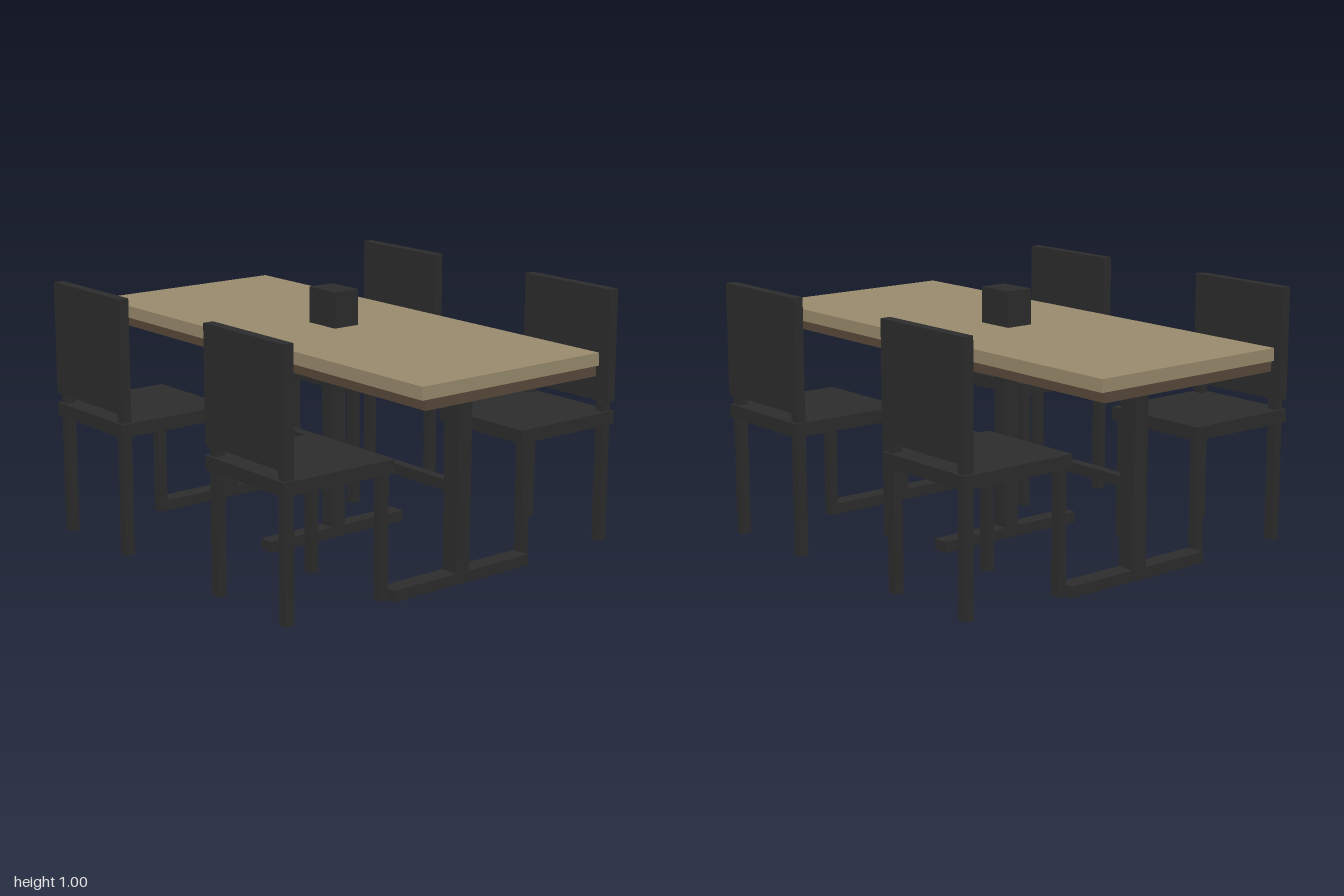
import * as THREE from 'three';

const material = (name, color) => {
  const m = new THREE.MeshStandardMaterial({ color });
  m.name = name;
  return m;
};

// Box given by its extents on each axis
function box(parent, name, mat, [x0, x1], [y0, y1], [z0, z1]) {
  const mesh = new THREE.Mesh(new THREE.BoxGeometry(x1 - x0, y1 - y0, z1 - z0), mat);
  mesh.position.set((x0 + x1) / 2, (y0 + y1) / 2, (z0 + z1) / 2);
  mesh.name = name;
  parent.add(mesh);
}

// Chair centred on x = 0, its back towards +z
function createChair(black) {
  const chair = new THREE.Group();
  chair.name = 'chair';
  box(chair, 'seat', black, [-0.23, 0.23], [0.47, 0.522], [0.31, 0.8]);
  box(chair, 'backrest', black, [-0.23, 0.23], [0.56, 1], [0.758, 0.8]);
  for (const x of [-0.2, 0.2]) {
    const span = [x - 0.019, x + 0.019];
    box(chair, 'frontLeg', black, span, [0, 0.47], [0.328, 0.364]);
    box(chair, 'backLeg', black, span, [0, 0.47], [0.75, 0.788]);
    box(chair, 'backrestPost', black, span, [0.522, 0.56], [0.75, 0.788]);
  }
  return chair;
}

export function createModel() {
  const wood = material('light wood', 0x9b8c6e);
  const brown = material('dark brown wood', 0x5a4a3b);
  const black = material('black', 0x2d2d2d);
  const model = new THREE.Group();
  model.name = 'diningSet';

  // Table
  const table = new THREE.Group();
  table.name = 'table';
  model.add(table);
  box(table, 'tableTop', wood, [-1, 1], [0.802, 0.85], [-0.422, 0.422]);
  box(table, 'tableUnderlayer', brown, [-1, 1], [0.765, 0.802], [-0.409, 0.409]);
  for (const [x, half] of [[-0.718, 0.037], [0, 0.032], [0.718, 0.037]]) {
    box(table, 'tableLeg', black, [x - half, x + half], [0.043, 0.765], [-0.033, 0.033]);
    box(table, 'tableFoot', black, [x - half, x + half], [0, 0.043], [-0.332, 0.332]);
  }
  for (const [x0, x1] of [[-0.681, -0.032], [0.032, 0.681]]) {
    box(table, 'stretcher', black, [x0, x1], [0.34, 0.38], [-0.02, 0.02]);
  }

  // Small box in the middle of the table
  box(model, 'centrepiece', black, [-0.079, 0.077], [0.85, 0.99], [-0.058, 0.056]);

  // Two chairs on each long side, facing the table
  for (const x of [-0.5, 0.5]) {
    for (const turn of [0, Math.PI]) {
      const chair = createChair(black);
      chair.position.x = x;
      chair.rotation.y = turn;
      model.add(chair);
    }
  }
  return model;
}
